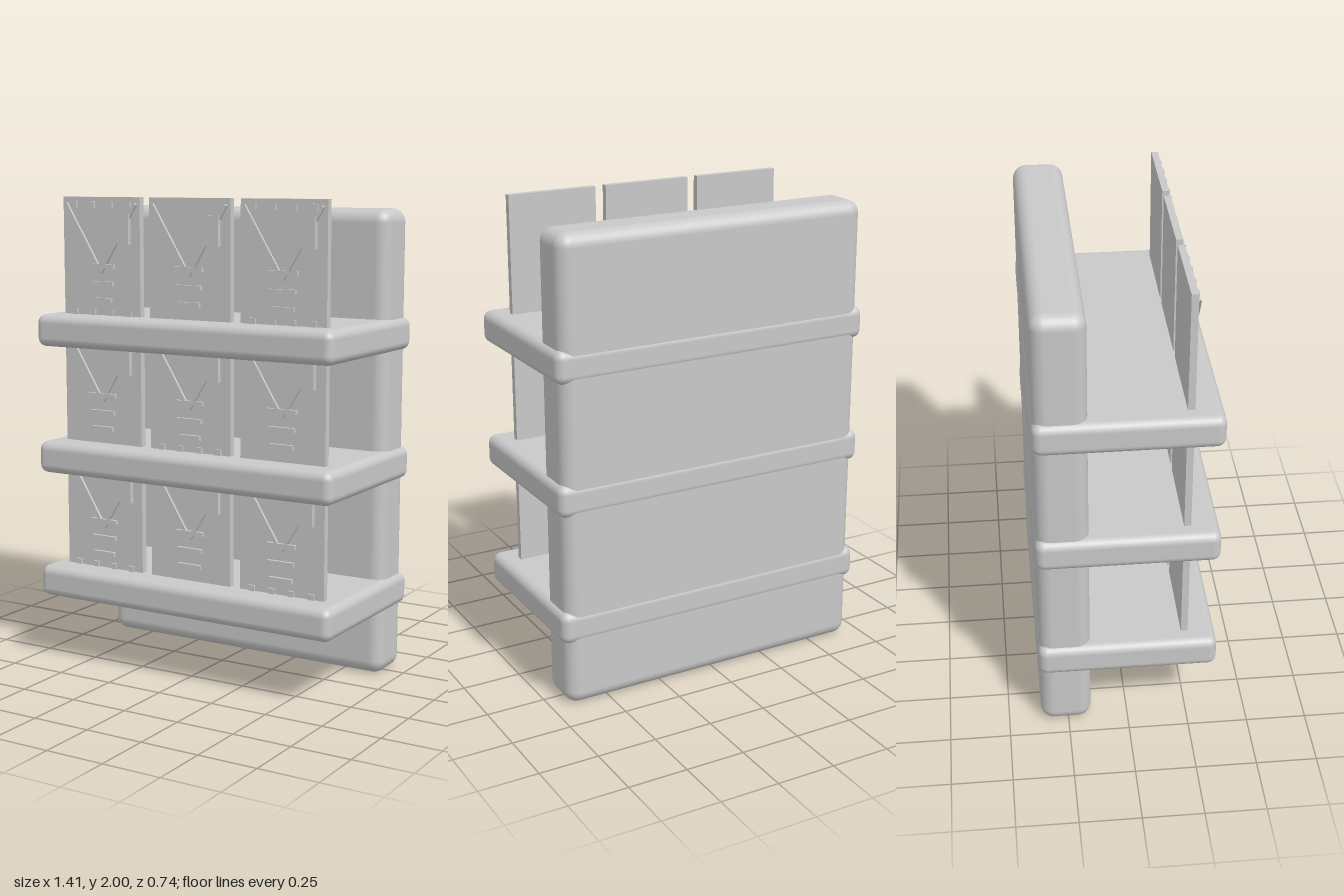
import * as THREE from 'three';
import { RoundedBoxGeometry } from 'three/addons/geometries/RoundedBoxGeometry.js';

const grey = new THREE.MeshStandardMaterial({ color: 0xc8c8c8 });
grey.name = 'light grey';

function add(parent, name, geometry, x, y, z) {
  const mesh = new THREE.Mesh(geometry, grey);
  mesh.name = name;
  mesh.position.set(x, y, z);
  parent.add(mesh);
  return mesh;
}

const CARD_W = 0.387, CARD_H = 0.5, CARD_BACK = 0.225, CARD_FRONT = 0.253;

// Raised block on a card face, reaching forward to the given depth
function relief(card, name, x, y, w, h, front) {
  const depth = front - CARD_FRONT + 0.004;
  return add(card, name, new THREE.BoxGeometry(w, h, depth), x, y, front - depth / 2);
}

// Card with its origin at the middle of the top edge
function makeCard(topStuds, bottomStuds) {
  const card = new THREE.Group();
  card.name = 'card';
  add(card, 'cardPanel', new THREE.BoxGeometry(CARD_W, CARD_H, CARD_FRONT - CARD_BACK),
    0, -CARD_H / 2, (CARD_FRONT + CARD_BACK) / 2);

  // V-shaped collar, mirrored left and right
  const dx = 0.176, top = -0.027, tip = -0.312;
  for (const side of [-1, 1]) {
    const arm = relief(card, 'collarArm', side * dx / 2, (top + tip) / 2,
      0.014, Math.hypot(dx, top - tip), 0.265);
    arm.rotation.z = -side * Math.atan2(dx, top - tip);
  }
  relief(card, 'badge', 0.119, -0.13, 0.058, 0.124, 0.273);

  // Three bars, shorter towards the bottom
  [[-0.286, 0.134], [-0.359, 0.12], [-0.428, 0.106]].forEach(([y, w]) =>
    relief(card, 'bar', 0, y, w, 0.018, 0.267));

  // Rows of small square studs
  for (let i = 0; i < 4; i++) {
    const x = -0.135 + i * 0.091;
    if (topStuds) relief(card, 'topStud', x, -0.032, 0.026, 0.028, 0.262);
    if (bottomStuds) relief(card, 'bottomStud', x, -0.482, 0.026, 0.028, 0.262);
  }
  return card;
}

export function createModel() {
  const model = new THREE.Group();
  model.name = 'cardRack';

  add(model, 'backBoard', new RoundedBoxGeometry(1.37, 1.955, 0.211, 4, 0.055), 0, 0.9775, -0.2595);

  // Shelves, each with three cards standing on it
  const studs = [[1, 0, 1], [0, 1, 0], [1, 0, 1]];
  for (let row = 0; row < 3; row++) {
    const y = 0.348 + row * 0.546;
    add(model, 'shelf', new RoundedBoxGeometry(1.411, 0.136, 0.736, 4, 0.036), 0, y, 0);
    for (let col = 0; col < 3; col++) {
      const card = makeCard(studs[row][col], studs[row][col]);
      card.position.set(-0.4365 + col * 0.434, 0.908 + row * 0.546, 0);
      model.add(card);
    }
  }
  return model;
}
